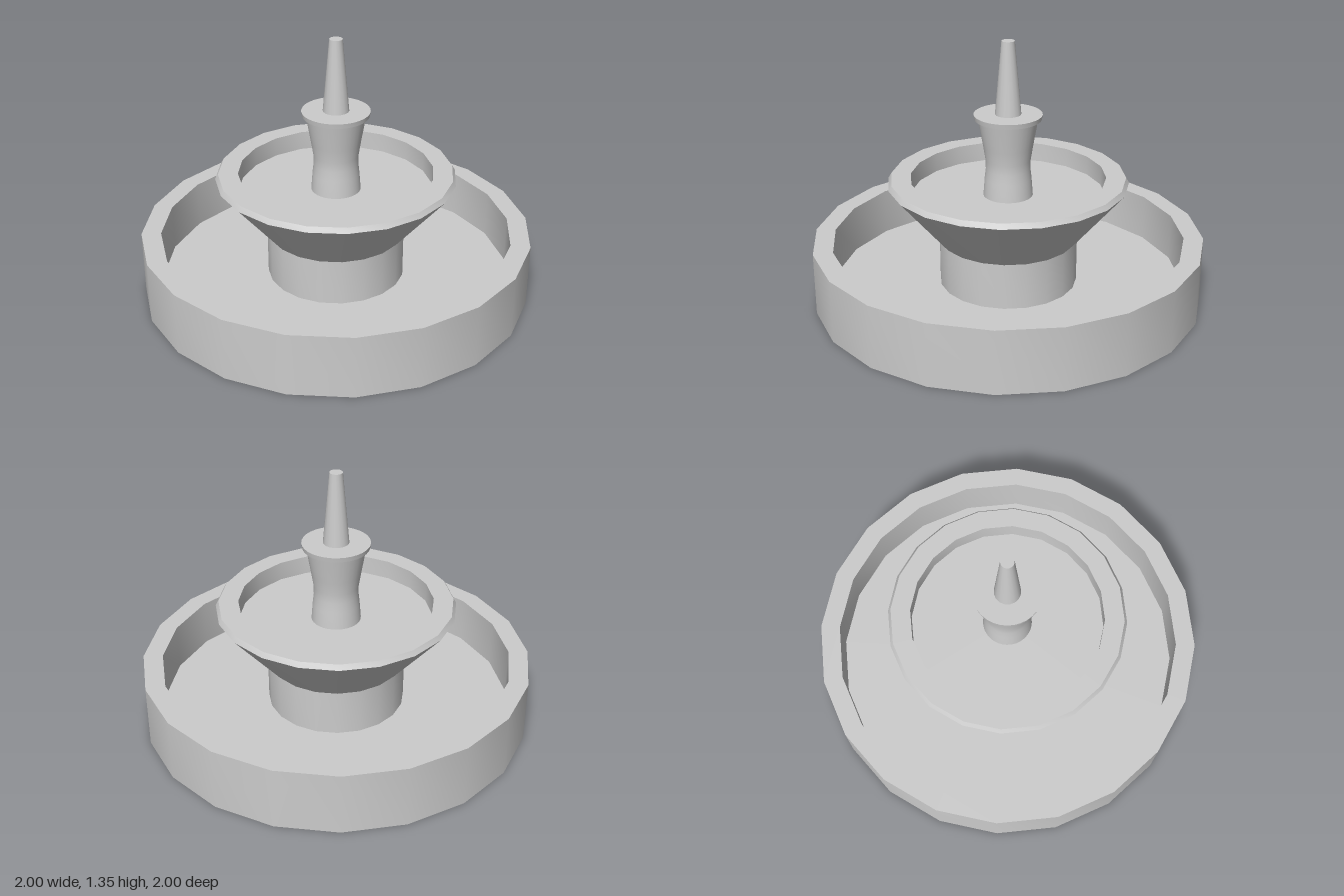
import * as THREE from 'three';
import { toCreasedNormals } from 'three/addons/utils/BufferGeometryUtils.js';

const material = new THREE.MeshStandardMaterial({ color: 0xcccccc });

// Turned part from a [radius, height] profile, listed from the bottom, up the outside
function turned(name, sides, profile) {
  const points = profile.map(([r, y]) => new THREE.Vector2(r, y));
  const geometry = toCreasedNormals(new THREE.LatheGeometry(points, sides), 0.5);
  const mesh = new THREE.Mesh(geometry, material);
  mesh.name = name;
  return mesh;
}

export function createModel() {
  const fountain = new THREE.Group();
  fountain.name = 'fountain';

  fountain.add(
    // Wide lower basin with a sunken floor
    turned('basin', 20, [[0, 0], [1, 0], [1, 0.325], [0.9, 0.325], [0.9, 0.08], [0, 0.08]]),
    // Short drum carrying the bowl
    turned('pedestal', 20, [[0.355, 0.08], [0.355, 0.32]]),
    // Flared upper bowl with a chamfered lip
    turned('bowl', 20, [[0, 0.32], [0.355, 0.32], [0.61, 0.625], [0.595, 0.65], [0.495, 0.65], [0.495, 0.55], [0, 0.55]]),
    // Waisted column
    turned('column', 32, [[0.126, 0.55], [0.119, 0.64], [0.113, 0.69], [0.114, 0.74], [0.125, 0.81], [0.15, 0.955]]),
    // Thin disc on the column
    turned('cap', 32, [[0, 0.953], [0.168, 0.953], [0.172, 0.978], [0, 0.978]]),
    // Tapered nozzle
    turned('spout', 16, [[0.066, 0.978], [0.033, 1.35], [0, 1.35]]),
  );
  return fountain;
}
